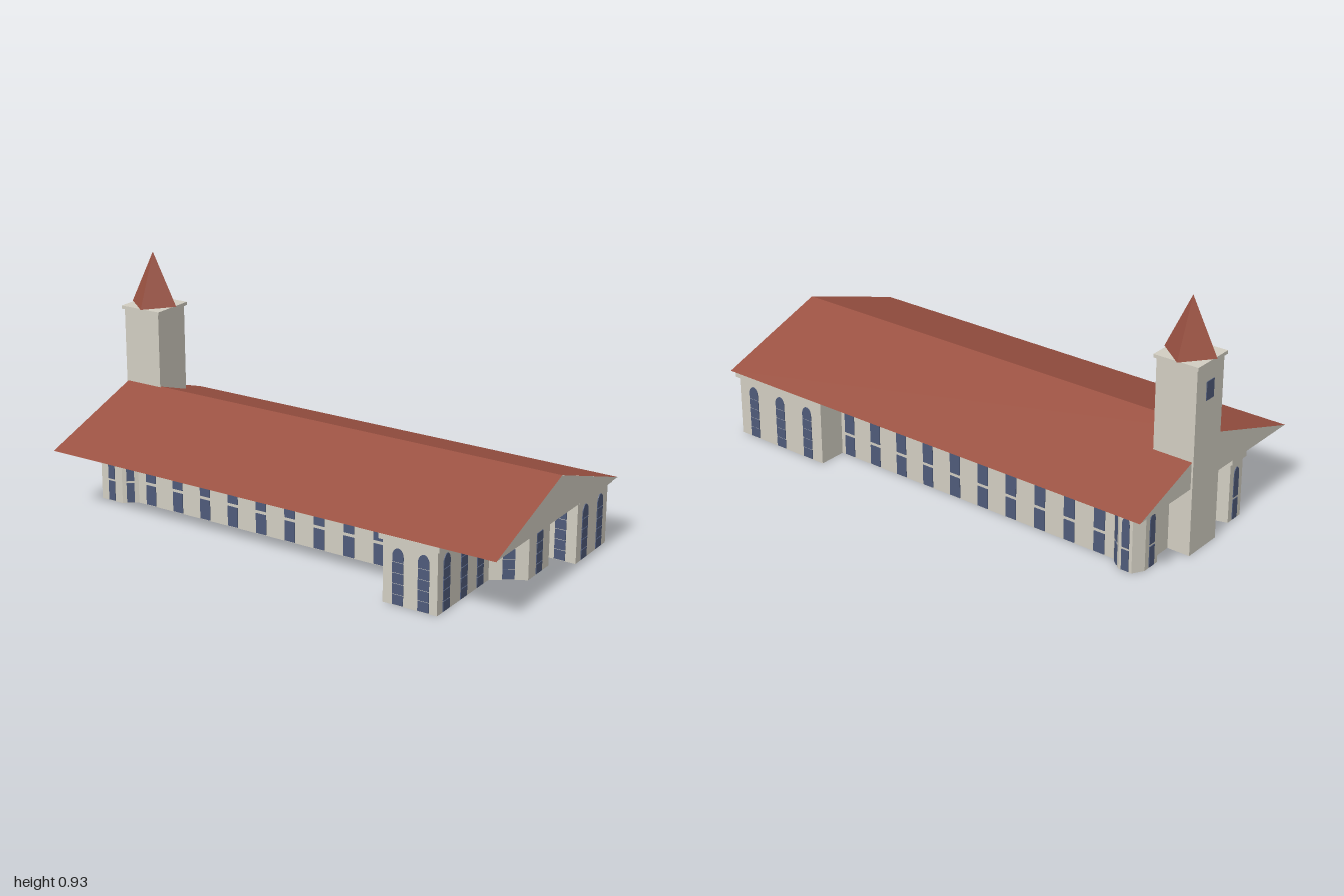
import * as THREE from 'three';

const material = (name, color, side = THREE.FrontSide) => {
  const m = new THREE.MeshStandardMaterial({ color, side });
  m.name = name;
  return m;
};

// Flat double-sided surface from a list of quads or triangles (corner points)
function facets(polys) {
  const pos = [];
  for (const p of polys)
    for (let i = 1; i < p.length - 1; i++) pos.push(...p[0], ...p[i], ...p[i + 1]);
  const g = new THREE.BufferGeometry();
  g.setAttribute('position', new THREE.Float32BufferAttribute(pos, 3));
  g.computeVertexNormals();
  return g;
}

// Arched window split into panes at the given [bottom, top] heights
function windowGeometry(w, panes) {
  const shapes = panes.map(([y0, y1], i) => {
    const s = new THREE.Shape();
    const h = w / 2;
    s.moveTo(-h, y0);
    s.lineTo(h, y0);
    if (i < panes.length - 1) {
      s.lineTo(h, y1);
      s.lineTo(-h, y1);
    } else {
      const spring = y1 - 0.03;
      s.lineTo(h, spring);
      s.absellipse(0, spring, h, 0.03, 0, Math.PI, false);
    }
    s.closePath();
    return s;
  });
  const g = new THREE.ExtrudeGeometry(shapes, { depth: 0.006, bevelEnabled: false, curveSegments: 5 });
  g.translate(0, 0, -0.003);
  return g;
}

export function createModel() {
  const plaster = material('plaster', 0xd2cec2, THREE.DoubleSide);
  const tile = material('roofTile', 0x9b5242, THREE.DoubleSide);
  const glass = material('windowGlass', 0x4f5b7a);

  const model = new THREE.Group();
  model.name = 'church';
  const body = new THREE.Group();
  body.name = 'building';
  const turn = -0.1075; // the building stands slightly askew
  body.rotation.y = turn;
  model.add(body);

  const add = (geometry, mat, name, x = 0, y = 0, z = 0) => {
    const m = new THREE.Mesh(geometry, mat);
    m.name = name;
    m.position.set(x, y, z);
    body.add(m);
    return m;
  };

  // Floor plan: corners [x, z], then x- or z-fractions of windows along the next wall
  const nave = Array.from({ length: 10 }, (_, i) => (0.062 + i * 0.13) / 1.275);
  const naveBack = nave.map((t) => 1 - t);
  const plan = [
    [-0.765, 0.195, nave],
    [0.51, 0.195, []],
    [0.51, 0.45, [0.28, 0.75]],
    [0.727, 0.45, [0.165, 0.5, 0.82]],
    [0.727, 0.09, [0.5]],
    [0.846, 0.015, [0.5]],
    [0.846, -0.14, [0.5]],
    [0.727, -0.205, [0.67]],
    [0.922, -0.205, [0.25, 0.75]],
    [0.922, -0.446, [0.17, 0.5, 0.83]],
    [0.5, -0.446, []],
    [0.5, -0.335, naveBack],
    [-0.765, -0.335, [0.5]],
    [-0.815, -0.378, [0.5]],
    [-0.87, -0.378, []],
    [-0.895, -0.335, [0.5]],
    [-0.895, -0.26, []],
    [-0.87, -0.24, []],
    [-0.87, 0.1, []],
    [-0.94, 0.12, [0.5]],
    [-0.94, 0.2, []],
    [-0.915, 0.235, [0.5]],
    [-0.815, 0.235, [0.5]],
  ];
  const at = (i) => plan[(i + plan.length) % plan.length];
  const WALL = 0.258;

  const tall = windowGeometry(0.044, [[0.003, 0.04], [0.043, 0.08], [0.083, 0.12], [0.123, 0.16], [0.163, 0.214]]);
  const split = windowGeometry(0.046, [[0.003, 0.083], [0.096, 0.218]]);
  const slim = windowGeometry(0.03, [[0.003, 0.083], [0.092, 0.21]]);

  // Walls and windows
  const walls = [];
  plan.forEach(([x0, z0, windows], i) => {
    const [x1, z1] = at(i + 1);
    const length = Math.hypot(x1 - x0, z1 - z0);
    walls.push([[x0, 0, z0], [x1, 0, z1], [x1, WALL, z1], [x0, WALL, z0]]);
    const kind = length > 1 ? split : length < 0.11 ? slim : tall;
    for (const t of windows) {
      const w = add(kind, glass, 'window', x0 + (x1 - x0) * t, 0, z0 + (z1 - z0) * t);
      w.rotation.y = Math.atan2(z0 - z1, x1 - x0);
    }
  });
  add(facets(walls), plaster, 'walls');

  // Cornice: the plan pushed outwards, with the plan itself as a hole
  const normal = (i) => {
    const [a, b] = at(i), [c, d] = at(i + 1);
    return new THREE.Vector2(b - d, c - a).normalize();
  };
  const outer = plan.map(([x, z], i) => {
    const n1 = normal(i - 1), n2 = normal(i);
    const k = 0.012 / Math.max(0.4, 1 + n1.dot(n2));
    return new THREE.Vector2(x + (n1.x + n2.x) * k, -(z + (n1.y + n2.y) * k));
  });
  const ring = new THREE.Shape(outer);
  ring.holes.push(new THREE.Path(plan.map(([x, z]) => new THREE.Vector2(x, -z))));
  const cornice = new THREE.ExtrudeGeometry(ring, { depth: 0.02, bevelEnabled: false });
  cornice.rotateX(-Math.PI / 2);
  add(cornice, plaster, 'cornice', 0, 0.239, 0);

  // Main roof and its two gables
  const L = 0.955, W = 0.463, EAVE = 0.26, RIDGE = 0.417;
  add(facets([
    [[-L, EAVE, W], [L, EAVE, W], [L, RIDGE, 0], [-L, RIDGE, 0]],
    [[L, EAVE, -W], [-L, EAVE, -W], [-L, RIDGE, 0], [L, RIDGE, 0]],
  ]), tile, 'roof');
  for (const s of [1, -1]) {
    const x = s * (L - 0.002);
    add(facets([[[x, EAVE, s * W], [x, EAVE, -s * W], [x, RIDGE - 0.001, 0]]]), plaster, 'gable');
  }

  // Bell tower with cap slab and spire
  const tx = -0.878, tz = -0.077;
  add(new THREE.BoxGeometry(0.164, 0.712, 0.164), plaster, 'tower', tx, 0.356, tz);
  add(new THREE.BoxGeometry(0.18, 0.013, 0.18), plaster, 'towerCap', tx, 0.7165, tz);
  const spireShape = new THREE.ConeGeometry(0.1, 0.21, 4).toNonIndexed();
  spireShape.computeVertexNormals();
  add(spireShape, tile, 'spire', tx, 0.828, tz).rotation.y = -turn;
  add(new THREE.BoxGeometry(0.006, 0.07, 0.045), glass, 'towerWindow', tx - 0.082, 0.61, tz);

  return model;
}
